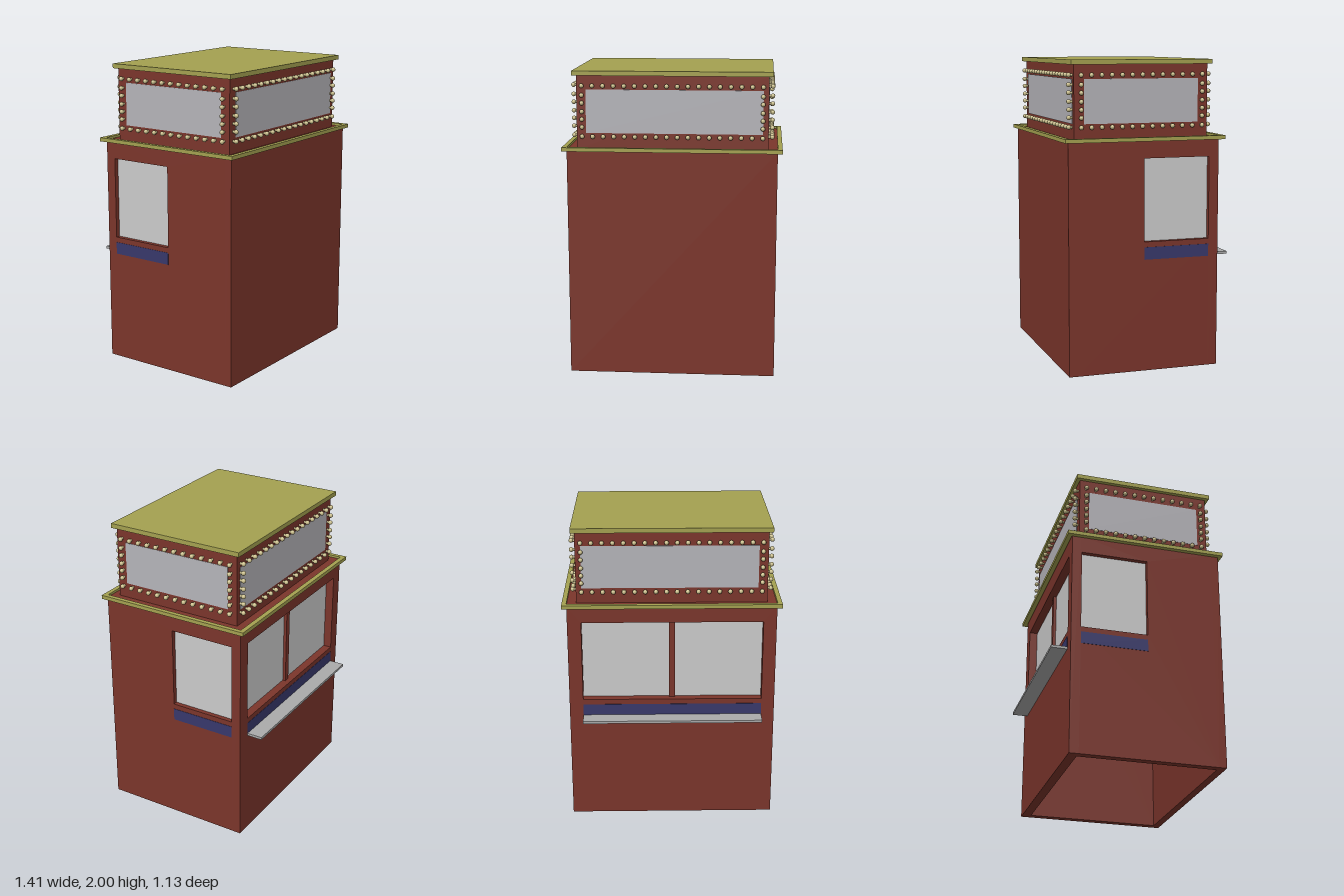
import * as THREE from 'three';
import { mergeGeometries } from 'three/addons/utils/BufferGeometryUtils.js';

const mat = (color) => new THREE.MeshStandardMaterial({ color });
const wood = mat(0x7b352b), olive = mat(0xa4a150), blue = mat(0x38386b);
const glass = mat(0xcccccc), signGrey = mat(0xb5b4b9), shelfGrey = mat(0xaaaaaa), bulbMat = mat(0xc9bd8a);

export function createModel() {
  const root = new THREE.Group();

  const add = (name, geometry, material) => {
    const mesh = new THREE.Mesh(geometry, material);
    mesh.name = name;
    root.add(mesh);
    return mesh;
  };
  // Box from its min and max on each axis
  const box = (name, material, [x0, x1], [y0, y1], [z0, z1]) => {
    const mesh = add(name, new THREE.BoxGeometry(x1 - x0, y1 - y0, z1 - z0), material);
    mesh.position.set((x0 + x1) / 2, (y0 + y1) / 2, (z0 + z1) / 2);
    return mesh;
  };
  // Rectangular slab with a rectangular hole, extruded along +z
  const rect = (P, x0, x1, y0, y1) => new P([[x0, y0], [x1, y0], [x1, y1], [x0, y1]]
    .map(([x, y]) => new THREE.Vector2(x, y)));
  const holed = (outer, hole, depth) => {
    const shape = rect(THREE.Shape, ...outer);
    shape.holes.push(rect(THREE.Path, ...hole));
    return new THREE.ExtrudeGeometry(shape, { depth, bevelEnabled: false });
  };

  // Booth walls, open underneath
  const TOP = 1.5, HX = 0.675, BACK = -0.465, FRONT = 0.54;
  box('frontWall', wood, [-HX, HX], [0, TOP], [FRONT - 0.05, FRONT]);
  const back = add('backWall', holed([-HX, HX, 0, TOP], [-0.59, 0.585, 0.845, 1.385], 0.06), wood);
  back.position.z = BACK;
  for (const [side, x] of [['left', HX - 0.05], ['right', -HX]]) {
    const wall = add(side + 'Wall',
      holed([-FRONT + 0.05, -BACK - 0.06, 0, TOP], [-0.04, 0.4, 0.845, 1.38], 0.05), wood);
    wall.rotation.y = Math.PI / 2;
    wall.position.x = x;
  }
  box('ceiling', wood, [-HX + 0.05, HX - 0.05], [1.45, TOP], [BACK + 0.06, FRONT - 0.05]);

  // Side windows with a blue band below each
  for (const [side, s] of [['left', 1], ['right', -1]]) {
    const span = (a, b) => (s > 0 ? [a, b] : [-b, -a]);
    box(side + 'Window', glass, span(0.63, 0.645), [0.84, 1.385], [-0.402, 0.045]);
    box(side + 'Band', blue, span(0.66, HX + 0.002), [0.73, 0.81], [-0.4, 0.04]);
  }

  // Serving side: paired windows, mullion, band and shelf
  box('backWindow', glass, [-0.595, 0.59], [0.84, 1.39], [BACK + 0.055, BACK + 0.068]);
  box('mullion', wood, [-0.02, 0.02], [0.845, 1.385], [BACK + 0.035, BACK + 0.06]);
  box('backBand', blue, [-0.59, 0.585], [0.73, 0.81], [BACK - 0.002, BACK + 0.02]);
  box('shelf', shelfGrey, [-0.59, 0.585], [0.718, 0.735], [-0.57, BACK + 0.01]);

  // Cornice ring around the top of the booth
  const cornice = add('cornice',
    holed([-0.705, 0.705, -0.565, 0.5], [-HX, HX, -FRONT + 0.005, -BACK + 0.003], 0.025), olive);
  cornice.rotation.x = -Math.PI / 2;
  cornice.position.y = 1.49;

  // Sign box, its panels and its cap
  const SX = 0.615, SB = -0.405, SF = 0.485;
  box('signBox', wood, [-SX, SX], [TOP - 0.01, 1.97], [SB, SF]);
  box('signPanelsFrontBack', signGrey, [-0.555, 0.58], [1.6, 1.88], [SB - 0.003, SF + 0.003]);
  box('signPanelsSides', signGrey, [-SX - 0.003, SX + 0.003], [1.6, 1.88], [-0.34, 0.42]);
  box('roofCap', olive, [-0.64, 0.64], [1.97, 2], [-0.43, 0.51]);

  // Bulbs: a ball on a short socket, pointing along +z
  const ball = new THREE.SphereGeometry(0.015, 10, 8).translate(0, 0, 0.023);
  const socket = new THREE.CylinderGeometry(0.009, 0.009, 0.018, 8, 1)
    .rotateX(Math.PI / 2).translate(0, 0, 0.007);
  const bulb = mergeGeometries([ball, socket]);
  const bulbFrame = (name, halfWidth, count, position, angle) => {
    const spots = [];
    for (let i = 0; i < count; i++) {
      const u = -halfWidth + (2 * halfWidth * i) / (count - 1);
      spots.push([u, 1.905], [u, 1.58]);
    }
    for (const y of [1.845, 1.795, 1.74, 1.69, 1.64]) spots.push([-halfWidth, y], [halfWidth, y]);
    const frame = add(name, mergeGeometries(spots.map(([u, y]) => bulb.clone().translate(u, y, 0))), bulbMat);
    frame.position.set(...position);
    frame.rotation.y = angle;
  };
  const midZ = (SB + SF) / 2;
  bulbFrame('frontBulbs', 0.578, 18, [0, 0, SF], 0);
  bulbFrame('backBulbs', 0.578, 18, [0, 0, SB], Math.PI);
  bulbFrame('leftBulbs', 0.403, 13, [SX, 0, midZ], Math.PI / 2);
  bulbFrame('rightBulbs', 0.403, 13, [-SX, 0, midZ], -Math.PI / 2);

  return root;
}
